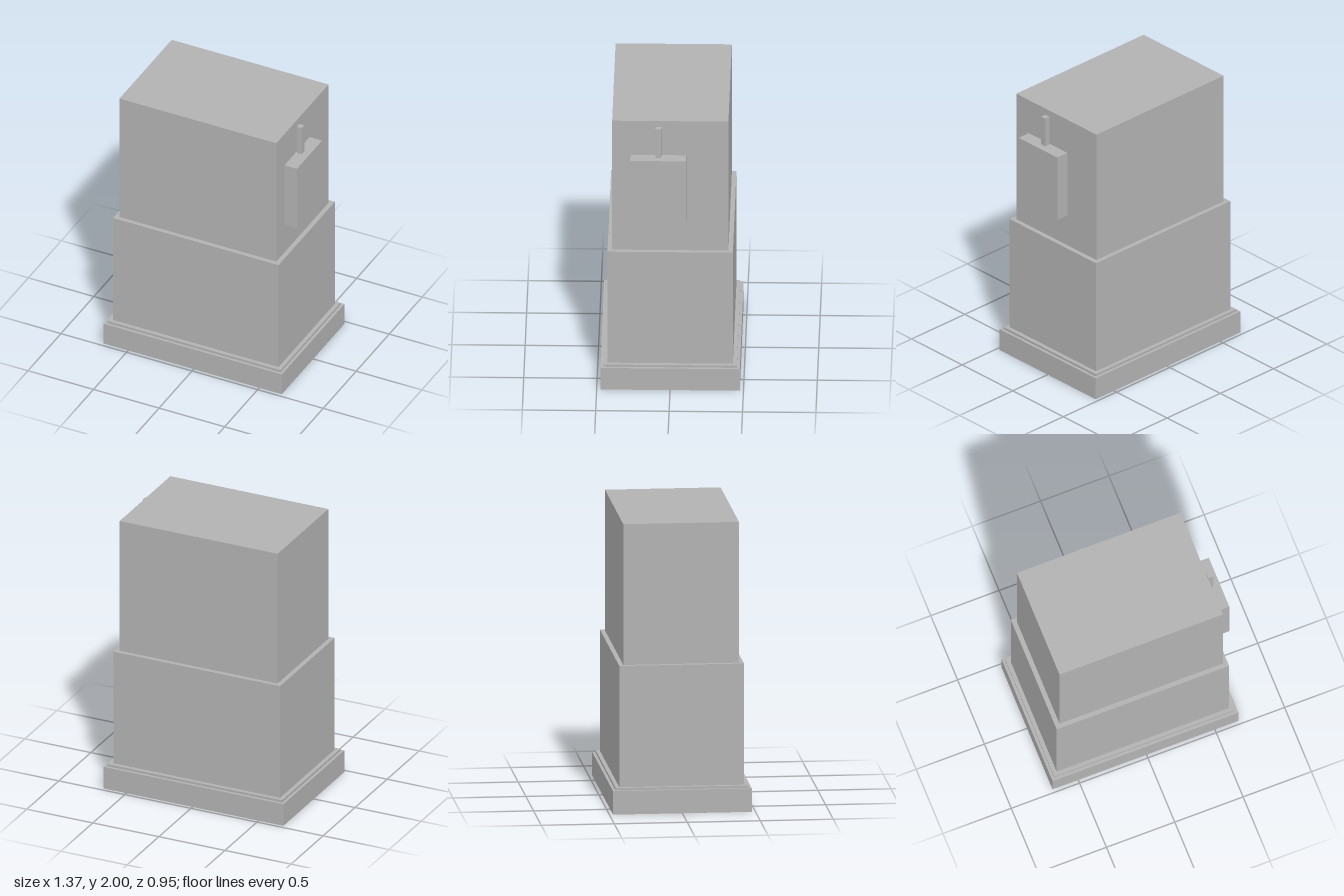
import * as THREE from 'three';

export function createModel() {
  const group = new THREE.Group();
  group.name = 'steppedCabinet';
  const grey = new THREE.MeshStandardMaterial({ color: 0xb2b2b2 });
  grey.name = 'plain grey';

  // Block given by its extents on each axis
  function block(name, [x0, x1], [y0, y1], [z0, z1]) {
    const mesh = new THREE.Mesh(new THREE.BoxGeometry(x1 - x0, y1 - y0, z1 - z0), grey);
    mesh.position.set((x0 + x1) / 2, (y0 + y1) / 2, (z0 + z1) / 2);
    mesh.name = name;
    group.add(mesh);
  }

  // Stacked body, each tier narrower than the one below
  const tiers = [
    ['base', 0.68, 0.475, 0, 0.163],
    ['baseLedge', 0.66, 0.455, 0.163, 0.18],
    ['lowerBody', 0.631, 0.427, 0.18, 1.022],
    ['upperBody', 0.598, 0.396, 1.022, 2],
  ];
  for (const [name, hw, hd, y0, y1] of tiers) {
    block(name, [-0.008 - hw, -0.008 + hw], [y0, y1], [-hd, hd]);
  }

  // Side-mounted box with its upright rod
  block('sideBox', [0.588, 0.685], [1.254, 1.742], [-0.109, 0.272]);
  block('sideRod', [0.598, 0.636], [1.742, 1.958], [0.061, 0.101]);

  return group;
}
